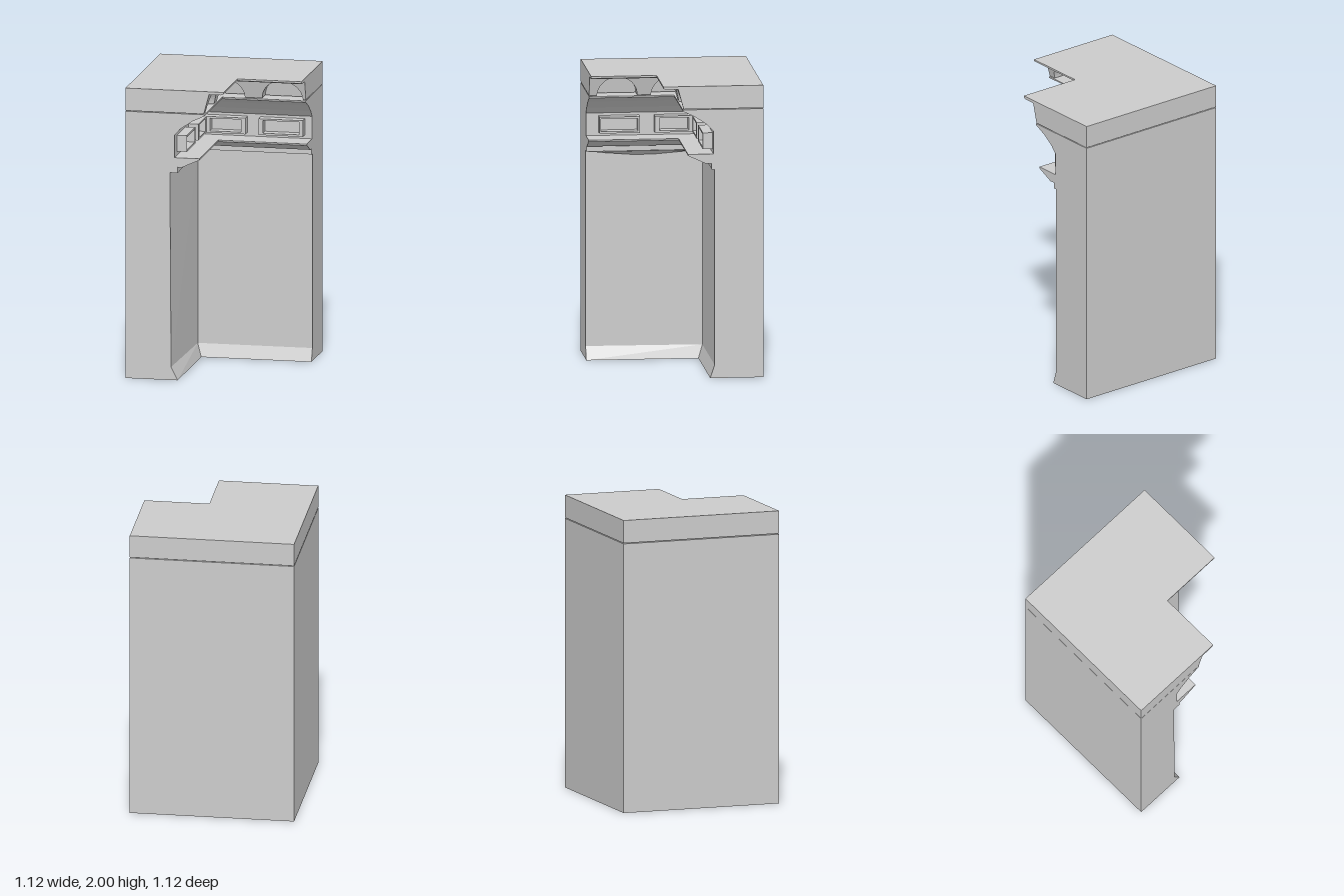
import * as THREE from 'three';

const H = 0.56; // half width of the block
const material = new THREE.MeshStandardMaterial({ color: 0xcccccc, flatShading: true });

// L-shaped solid lofted through levels [y, inset, inset at the end of the front wing]
function loftL(levels) {
  const pos = [], idx = [], last = (levels.length - 1) * 6;
  levels.forEach(([y, o, e = o]) => {
    [[-H, -H], [H, -H], [H, o], [o, o], [e, H], [-H, H]].forEach(([x, z]) => pos.push(x, y, z));
  });
  for (let k = 0; k < last; k += 6) {
    for (let i = 0; i < 6; i++) {
      const a = k + i, b = k + (i + 1) % 6;
      idx.push(a, a + 6, b, b, a + 6, b + 6);
    }
  }
  for (let i = 1; i < 5; i++) idx.push(0, i, i + 1, last, last + i + 1, last + i);
  const g = new THREE.BufferGeometry();
  g.setAttribute('position', new THREE.Float32BufferAttribute(pos, 3));
  g.setIndex(idx);
  return finish(g);
}

function finish(g) {
  const flat = g.index ? g.toNonIndexed() : g;
  flat.computeVertexNormals();
  return flat;
}

// Mirror a back-wing geometry across the diagonal onto the front wing
function swapXZ(source) {
  const g = source.index ? source.toNonIndexed() : source.clone();
  const p = g.attributes.position, v = [];
  for (let i = 0; i < p.count; i += 3) {
    for (const j of [i, i + 2, i + 1]) v.push(p.getZ(j), p.getY(j), p.getX(j));
  }
  const out = new THREE.BufferGeometry();
  out.setAttribute('position', new THREE.Float32BufferAttribute(v, 3));
  return finish(out);
}

function rectPath(Type, x0, x1, y0, y1) {
  const s = new Type();
  s.moveTo(x0, y0); s.lineTo(x1, y0); s.lineTo(x1, y1); s.lineTo(x0, y1); s.closePath();
  return s;
}

// Raised window frame on the band
function frame(x0, x1, h0, h1) {
  const s = rectPath(THREE.Shape, x0, x1, 1.56, 1.672);
  s.holes.push(rectPath(THREE.Path, h0, h1, 1.573, 1.66));
  const g = new THREE.ExtrudeGeometry(s, { depth: 0.07, bevelEnabled: false });
  g.translate(0, 0, -0.225);
  return g;
}

// Leaning arcade panel with a full arch and a half arch at the inner corner
function arcade(center, r) {
  const y0 = 1.845, h = 0.13, s = new THREE.Shape();
  s.moveTo(-0.1, 1.98);
  s.lineTo(-0.1, y0 + h);
  s.lineTo(0, y0 + h);
  s.absellipse(0, y0, 0.14, h, Math.PI / 2, 0, true);
  s.lineTo(center - r, y0);
  s.absellipse(center, y0, r, h, Math.PI, 0, true);
  s.lineTo(H, y0);
  s.lineTo(H, 1.98);
  s.closePath();
  const g = new THREE.ExtrudeGeometry(s, { depth: 0.12, bevelEnabled: false, curveSegments: 12 });
  g.translate(0, 0, -0.14);
  const p = g.attributes.position;
  for (let i = 0; i < p.count; i++) p.setZ(i, p.getZ(i) + (p.getY(i) - y0) * 0.27);
  return finish(g);
}

export function createModel() {
  const model = new THREE.Group();
  const add = (name, geometry) => {
    const mesh = new THREE.Mesh(geometry, material);
    mesh.name = name;
    model.add(mesh);
  };

  // Plinth, plain wall, ledge, shelf, band and cove in one profile
  add('cornerWall', loftL([
    [0, -0.2], [0.09, -0.23, -0.245], [1.43, -0.23, -0.253],
    [1.43, -0.21, -0.2], [1.47, -0.21, -0.2], [1.47, -0.17],
    [1.525, -0.05], [1.535, -0.05], [1.535, -0.222], [1.69, -0.222],
    [1.735, -0.18], [1.79, -0.1], [1.83, -0.015], [1.84, -0.015],
  ]));

  // Sloping wedge below the ledge of the front wing
  const wedge = new THREE.BufferGeometry();
  wedge.setAttribute('position', new THREE.Float32BufferAttribute([
    -0.2, 1.43, -0.22, -0.2, 1.43, H, -0.25, 1.39, 0.17,
    -0.2, 1.43, H, -0.253, 1.43, H, -0.25, 1.39, 0.17,
  ], 3));
  add('ledgeWedge', finish(wedge));

  // Window frames on both wings
  add('backCornerFrame', frame(-0.222, 0.115, -0.13, 0.085));
  add('backOuterFrame', frame(0.205, 0.51, 0.235, 0.485));
  add('frontCornerFrame', swapXZ(frame(-0.222, 0.1, -0.13, 0.07)));
  add('frontOuterFrame', swapXZ(frame(0.2, 0.475, 0.215, 0.465)));

  // Top slab with arcades and a thin overhanging cap
  add('slabCore', loftL([[1.845, -0.12], [1.98, -0.1]]));
  add('backArcade', arcade(0.4, 0.14));
  add('frontArcade', swapXZ(arcade(0.37, 0.136)));
  add('cap', loftL([[1.98, 0.1], [1.988, 0.117], [2, 0.117]]));
  return model;
}
